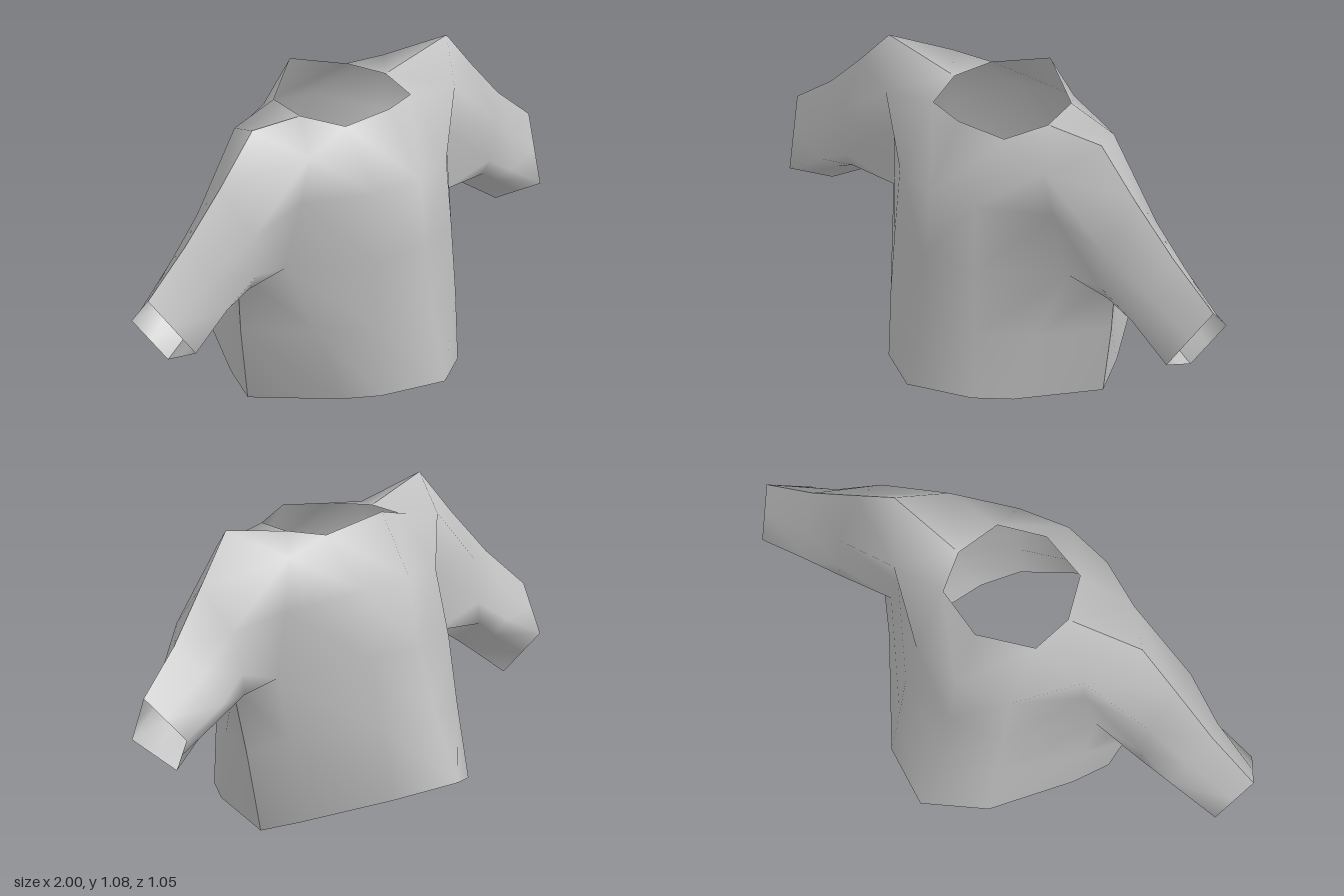
import * as THREE from 'three';
import { mergeVertices } from 'three/addons/utils/BufferGeometryUtils.js';

// Points shared by the front and back panels along the shoulder and side seams
const NECK = [0.225, 1.015, 0.06], SHOULDER = [0.51, 1.07, 0.09], ARMPIT = [0.53, 0.52, 0.04];
const SIDE_HEM = [0.43, 0, 0], SIDE_MID = [0.485, 0.28, 0.015];

// Torso rows from hem to neck, each running from the centre line to the side
const FRONT = [
  [[0, 0.07, 0.525], [0.2, 0.05, 0.41], [0.29, 0.035, 0.3], SIDE_HEM],
  [[0, 0.31, 0.47], [0.2, 0.3, 0.4], [0.34, 0.29, 0.235], SIDE_MID],
  [[0, 0.56, 0.44], [0.19, 0.55, 0.39], [0.42, 0.535, 0.16], ARMPIT],
  [[0, 0.8, 0.41], [0.18, 0.8, 0.375], [0.38, 0.78, 0.2]],
  [[0, 1.025, 0.27], [0.17, 1.005, 0.22], [0.38, 0.965, 0.24]],
];
const BACK = [
  [[0, 0.175, -0.525], [0.2, 0.13, -0.4], [0.37, 0.04, -0.13], SIDE_HEM],
  [[0, 0.4, -0.42], [0.2, 0.38, -0.35], [0.4, 0.33, -0.11], SIDE_MID],
  [[0, 0.63, -0.35], [0.2, 0.62, -0.31], [0.42, 0.55, -0.065], ARMPIT],
  [[0, 0.87, -0.3], [0.19, 0.85, -0.26], [0.385, 0.78, -0.075]],
  [[0, 1.08, -0.18], [0.19, 1.02, -0.09], [0.39, 0.98, -0.095]],
];

// Sleeve cross-sections: bottom, front, back and top corners, plus roundness
const SLEEVE = [
  { bottom: [0.62, 0.465, 0.03], front: [0.61, 0.59, 0.2], back: [0.62, 0.61, -0.082], top: [0.66, 0.9, 0.075], round: 1.8 },
  { bottom: [0.7, 0.41, 0.02], front: [0.745, 0.5, 0.18], back: [0.745, 0.53, -0.1], top: [0.82, 0.73, 0.055], round: 1.35 },
  { bottom: [0.86, 0.3, 0.01], front: [0.905, 0.39, 0.175], back: [0.93, 0.44, -0.095], top: [1, 0.58, 0.04], round: 1 },
];

// Half of a sleeve section, bottom to top, bulging away from its axis
function halfSection(s, side) {
  const bulge = (a, b) => a.map((v, i) => {
    const axis = (s.bottom[i] + s.top[i]) / 2;
    const mid = (v + b[i]) / 2;
    return i === 2 ? axis + (mid - axis) * s.round : mid;
  });
  return [s.bottom, bulge(s.bottom, s[side]), s[side], bulge(s[side], s.top), s.top];
}

// One smooth panel with its half sleeves, mirrored across the centre line
function panelGeometry(rows, side) {
  const positions = [];
  const tri = (a, b, c) => {
    if (side === 'back') [b, c] = [c, b];
    positions.push(...a, ...b, ...c);
    for (const p of [a, c, b]) positions.push(-p[0], p[1], p[2]);
  };
  const grid = (lines) => {
    for (let r = 0; r < lines.length - 1; r++) {
      const lo = lines[r], hi = lines[r + 1];
      for (let i = 0; i < Math.min(lo.length, hi.length) - 1; i++) {
        tri(lo[i], lo[i + 1], hi[i + 1]);
        tri(lo[i], hi[i + 1], hi[i]);
      }
    }
  };

  // Torso and the hollow shoulder yoke beside the neck
  grid(rows);
  const [, collar, yokeCorner] = rows[4];
  tri(collar, yokeCorner, NECK);
  tri(yokeCorner, SHOULDER, NECK);

  // Sleeve, starting from the armhole
  const armhole = [ARMPIT, rows[2][2], rows[3][2], yokeCorner, SHOULDER];
  const sections = [armhole, ...SLEEVE.map((s) => halfSection(s, side))];
  grid(armhole.map((_, k) => sections.map((section) => section[k])));

  const geometry = new THREE.BufferGeometry();
  geometry.setAttribute('position', new THREE.Float32BufferAttribute(positions, 3));
  const merged = mergeVertices(geometry, 1e-4);
  merged.computeVertexNormals();
  return merged;
}

export function createModel() {
  const cloth = new THREE.MeshStandardMaterial({ color: 0xc0c0c0, side: THREE.DoubleSide });
  cloth.name = 'grey cloth';

  const shirt = new THREE.Group();
  shirt.name = 'shirt';
  for (const [name, rows, side] of [['frontPanel', FRONT, 'front'], ['backPanel', BACK, 'back']]) {
    const mesh = new THREE.Mesh(panelGeometry(rows, side), cloth);
    mesh.name = name;
    shirt.add(mesh);
  }
  return shirt;
}
